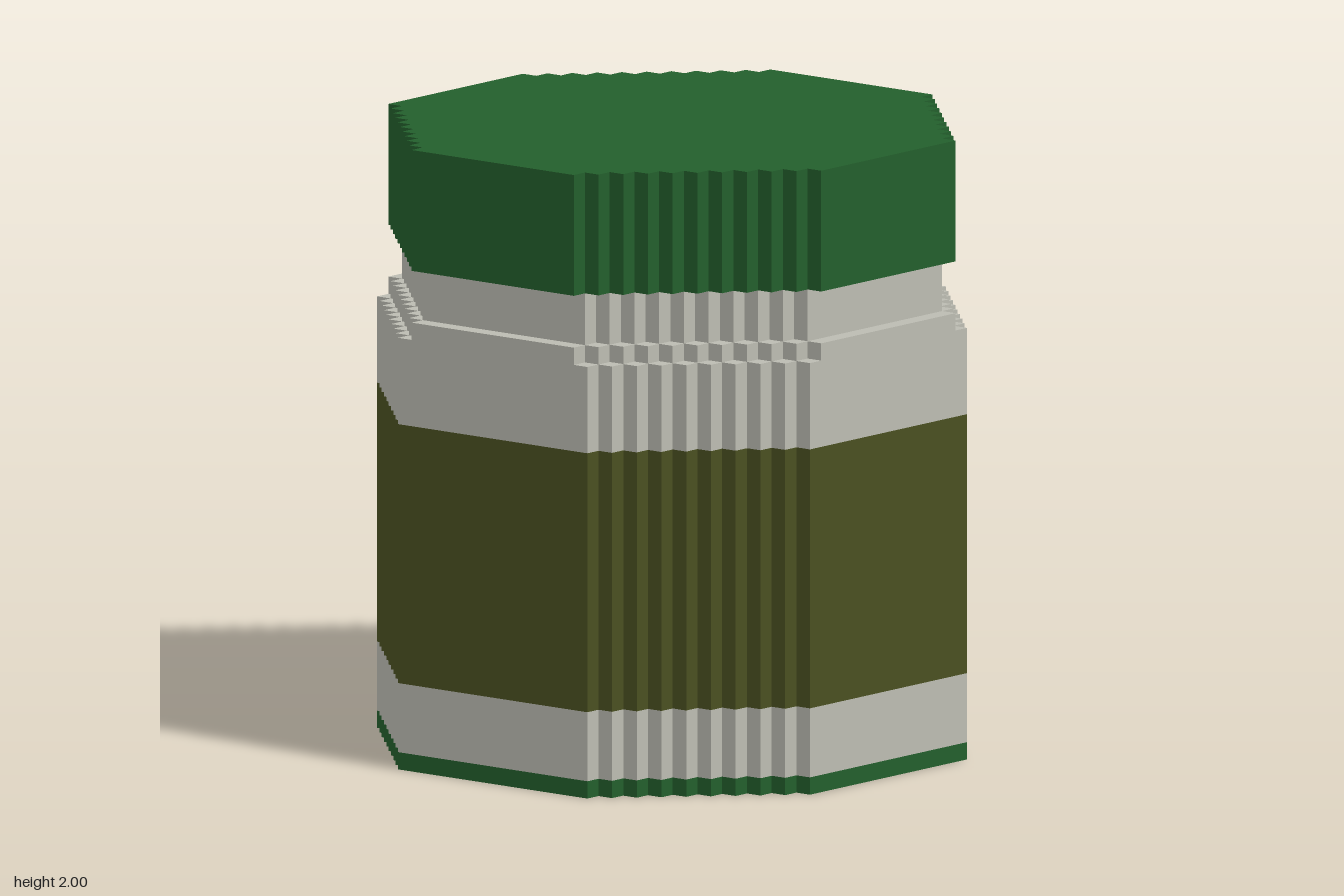
import * as THREE from 'three';

const U = 1 / 18; // one block

// Octagon with stair-stepped diagonals: half = half width, flat = half length of a straight side (in blocks)
function steppedOctagon(half, flat) {
  const quarter = [];
  for (let x = half, z = flat; x >= flat; x--, z++) {
    quarter.push([x, z]);
    if (x > flat) quarter.push([x - 1, z]);
  }
  const points = [];
  for (let q = 0; q < 4; q++) {
    for (const [x, z] of quarter) {
      const p = [[x, z], [-z, x], [-x, -z], [z, -x]][q];
      points.push(new THREE.Vector2(p[0] * U, p[1] * U));
    }
  }
  return new THREE.Shape(points);
}

export function createModel() {
  const green = new THREE.MeshStandardMaterial({ color: 0x235f2c });
  green.name = 'green';
  const olive = new THREE.MeshStandardMaterial({ color: 0x4a5021 });
  olive.name = 'olive';
  const grey = new THREE.MeshStandardMaterial({ color: 0xbcbcb2 });
  grey.name = 'warm grey';

  const jar = new THREE.Group();
  jar.name = 'jar';

  // name, material, half width, flat, bottom, top (all in blocks)
  const layers = [
    ['base', green, 16, 7, 0, 1],
    ['lowerBody', grey, 16, 7, 1, 5],
    ['label', olive, 16, 7, 5, 20],
    ['upperBody', grey, 16, 7, 20, 25],
    ['shoulder', grey, 16, 6, 25, 26],
    ['neck', grey, 15, 6, 26, 29],
    ['lid', green, 16, 6, 29, 36],
  ];
  for (const [name, material, half, flat, bottom, top] of layers) {
    const geometry = new THREE.ExtrudeGeometry(steppedOctagon(half, flat), {
      depth: (top - bottom) * U,
      bevelEnabled: false,
    });
    geometry.rotateX(-Math.PI / 2);
    const mesh = new THREE.Mesh(geometry, material);
    mesh.name = name;
    mesh.position.y = bottom * U;
    jar.add(mesh);
  }
  return jar;
}
